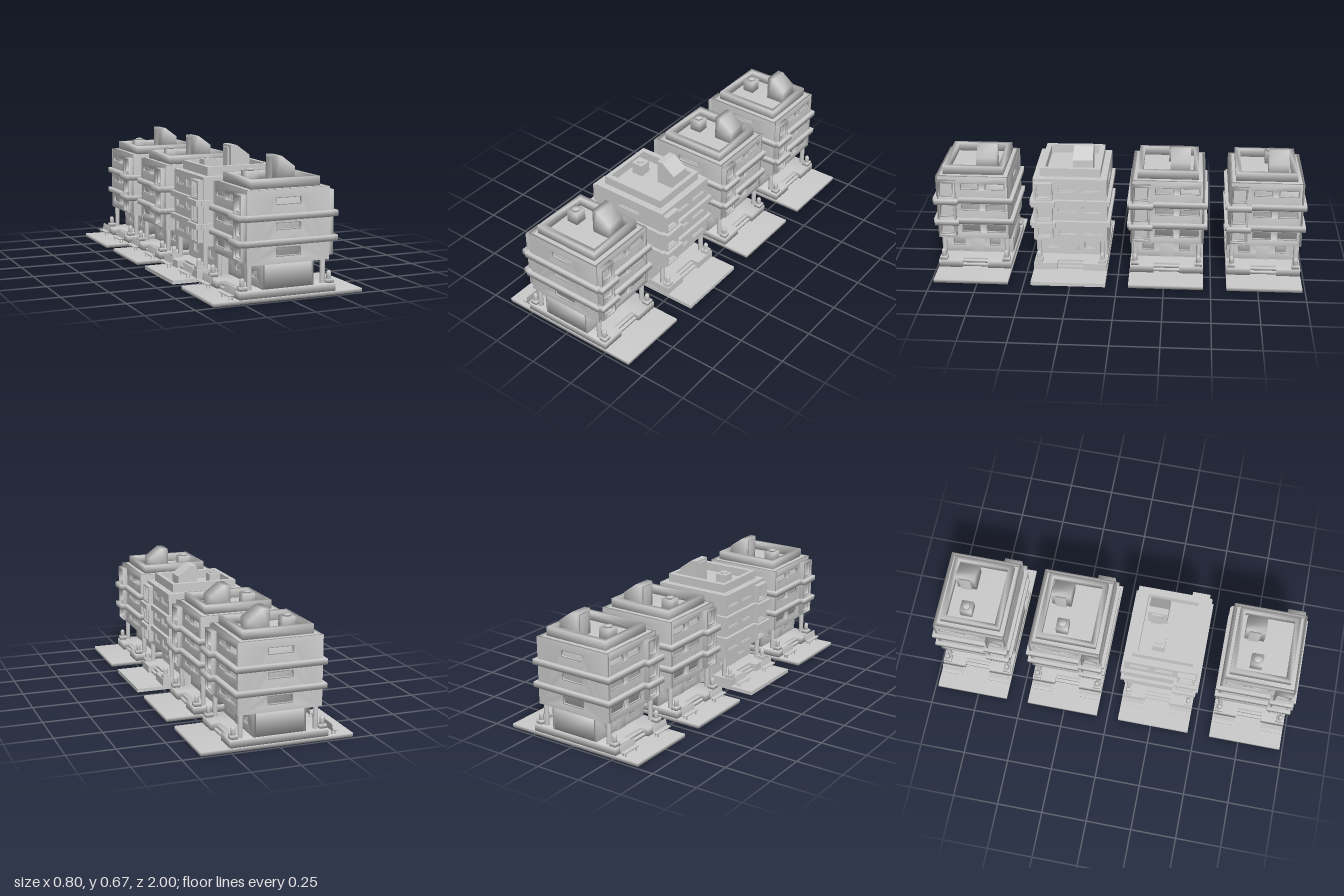
import * as THREE from 'three';
import { mergeVertices } from 'three/addons/utils/BufferGeometryUtils.js';

const FLOORS = [[0.214, 0.262], [0.343, 0.381], [0.465, 0.503]];
const BAY_FLOORS = [[0.208, 0.264], [0.31, 0.385], [0.432, 0.513]];

// Rectangle as a closed list of points
function rect(x0, x1, y0, y1) {
  return [[x0, y0], [x1, y0], [x1, y1], [x0, y1]].map(([x, y]) => new THREE.Vector2(x, y));
}

function extrude(outline, holes, depth) {
  const shape = new THREE.Shape(outline);
  holes.forEach((h) => shape.holes.push(new THREE.Path(h)));
  return new THREE.ExtrudeGeometry(shape, { depth, bevelEnabled: false });
}

// Box from its limits
function box(x0, x1, y0, y1, z0, z1) {
  return new THREE.BoxGeometry(x1 - x0, y1 - y0, z1 - z0)
    .translate((x0 + x1) / 2, (y0 + y1) / 2, (z0 + z1) / 2);
}

// Shared vertices give the soft, rounded shading
function soften(geo) {
  geo.deleteAttribute('normal');
  geo.deleteAttribute('uv');
  const soft = mergeVertices(geo, 1e-4);
  soft.computeVertexNormals();
  return soft;
}

function createBuilding(smooth) {
  const building = new THREE.Group();
  const material = new THREE.MeshStandardMaterial({ color: 0xcccccc, flatShading: !smooth });
  const add = (name, geo, parent = building) => {
    const mesh = new THREE.Mesh(smooth ? soften(geo) : geo, material);
    mesh.name = name;
    parent.add(mesh);
    return mesh;
  };

  // Wall with openings; "openings" are [u0, u1, y0, y1], and the outer face lies at "out"
  const wall = (name, outline, openings, depth, out, angle, parent, framed = true) => {
    const place = (geo, offset) => geo.translate(0, 0, offset).rotateY(angle);
    add(name, place(extrude(rect(...outline), openings.map((o) => rect(...o)), depth), out - depth), parent);
    if (!framed) return;
    openings.forEach(([a, b, c, d]) => {
      const t = 0.005;
      const ring = extrude(rect(a, b, c, d), [rect(a + t, b - t, c + t, d - t)], depth * 0.6);
      add('windowFrame', place(ring, out - depth), parent);
    });
  };

  // Ground slab
  add('groundSlab', box(-0.4, 0.4, 0, 0.02, -0.2, 0.2));

  const tower = new THREE.Group();
  tower.name = 'tower';
  tower.position.x = -0.007;
  building.add(tower);
  const part = (name, geo) => add(name, geo, tower);

  // Plinth with a stair notch on both sides
  const plinth = [
    [-0.258, -0.198], [0.258, -0.198], [0.258, -0.07], [0.21, -0.07], [0.21, 0.07], [0.258, 0.07],
    [0.258, 0.198], [-0.258, 0.198], [-0.258, 0.07], [-0.21, 0.07], [-0.21, -0.07], [-0.258, -0.07],
  ].map(([x, z]) => new THREE.Vector2(x, z));
  part('plinth', extrude(plinth, [], 0.04).rotateX(-Math.PI / 2).translate(0, 0.02, 0));

  // Ground floor and main body, each a solid set behind the pierced walls
  const d = 0.012;
  part('lobby', box(-0.126, 0.126, 0.06, 0.18, -0.195, 0.195));
  part('bodyCore', box(-0.22 + d, 0.22 - d, 0.18, 0.54, -0.198 + d, 0.198 - d));
  const frontWindows = FLOORS.map(([a, b]) => [-0.068, 0.068, a, b]);
  for (const angle of [0, Math.PI]) {
    wall('endWall', [-0.22, 0.22, 0.18, 0.54], frontWindows, d, 0.198, angle, tower);
  }

  for (const s of [1, -1]) {
    const angle = s * Math.PI / 2;
    // Range along the facade from a z range, the same on both flanks
    const span = (z0, z1, y0, y1) => (s > 0 ? [-z1, -z0, y0, y1] : [z0, z1, y0, y1]);
    const sx = (x0, x1, ...rest) => (s > 0 ? box(x0, x1, ...rest) : box(-x1, -x0, ...rest));

    const sideWindows = FLOORS.flatMap(([a, b]) => [span(-0.034, 0.067, a, b), span(-0.173, -0.066, a, b)]);
    wall('sideWall', [-0.198 + d, 0.198 - d, 0.18, 0.54], sideWindows, d, 0.22, angle, tower);

    // Projecting bay with three openings
    const bayOpenings = BAY_FLOORS.map(([a, b]) => span(0.103, 0.179, a, b));
    wall('bay', span(0.093, 0.189, 0.2, 0.522), bayOpenings, 0.027, 0.247, angle, tower);
    for (const [y0, y1] of [[0.272, 0.3], [0.393, 0.422]]) {
      part('bayLedge', sx(0.22, 0.264, y0, y1, 0.077, 0.205));
    }

    // Entrance and lobby windows
    wall('lobbyWall', [-0.195, 0.195, 0.06, 0.18],
      [span(0.07, 0.135, 0.095, 0.14), span(-0.125, -0.066, 0.095, 0.14)], d, 0.138, angle, tower);
    part('door', sx(0.13, 0.142, 0.06, 0.145, -0.033, 0.036));

    // Entrance steps
    part('lowerStep', sx(0.2, 0.242, 0.02, 0.034, -0.07, 0.07));
    part('upperStep', sx(0.2, 0.226, 0.034, 0.048, -0.07, 0.07));

    for (const z of [0.172, -0.172]) {
      // Corner column
      part('column', new THREE.CylinderGeometry(0.013, 0.013, 0.12, 12).translate(s * 0.198, 0.12, z));
      // Planter with a rounded shrub
      part('planter', sx(0.215, 0.253, 0.06, 0.079, z - 0.02, z + 0.02));
      const profile = [[0, 0.079], [0.0125, 0.079], [0.0125, 0.106], [0.0105, 0.114], [0.006, 0.119], [0, 0.12]];
      part('shrub', new THREE.LatheGeometry(profile.map((p) => new THREE.Vector2(...p)), 10)
        .translate(s * 0.234, 0, z));
    }
  }

  // Floor bands
  for (const [y0, y1] of [[0.272, 0.3], [0.393, 0.422]]) {
    part('floorBand', box(-0.238, 0.238, y0, y1, -0.215, 0.215));
  }

  // Roof deck and parapet
  part('roofDeck', box(-0.2, 0.2, 0.53, 0.5405, -0.18, 0.18));
  part('parapet', extrude(rect(-0.184, 0.184, -0.163, 0.163), [rect(-0.162, 0.162, -0.135, 0.135)], 0.047)
    .rotateX(-Math.PI / 2).translate(0, 0.54, 0));

  // Roof vent
  add('ventBox', box(-0.138, -0.074, 0.54, 0.605, -0.064, 0));
  add('ventCap', new THREE.CylinderGeometry(0.019, 0.019, 0.01, 10).translate(-0.106, 0.61, -0.032));

  // Stair house with sloping roof
  const house = [[0.022, 0.54], [0.13, 0.54], [0.13, 0.617], [0.056, 0.672], [0.022, 0.672]]
    .map((p) => new THREE.Vector2(...p));
  add('stairHouse', extrude(house, [], 0.106).translate(0, 0, -0.118));
  add('stairDoor', box(0.013, 0.023, 0.54, 0.66, -0.098, -0.038));

  // Benches
  for (const z of [0.135, -0.135]) {
    const bench = new THREE.Group();
    bench.name = 'bench';
    building.add(bench);
    add('benchSeat', box(-0.318, -0.29, 0.04, 0.045, z - 0.058, z + 0.058), bench);
    add('benchBack', new THREE.BoxGeometry(0.004, 0.037, 0.116).rotateZ(-0.2).translate(-0.288, 0.06, z), bench);
    for (const x of [-0.311, -0.294]) {
      for (const dz of [-0.042, 0.042]) {
        add('benchLeg', box(x - 0.002, x + 0.002, 0.02, 0.04, z + dz - 0.003, z + dz + 0.003), bench);
      }
    }
  }
  return building;
}

export function createModel() {
  const model = new THREE.Group();
  model.name = 'buildingRow';
  // Four buildings in a row; one has hard facets, the others soft shading
  [0.784, 0.261, -0.261, -0.784].forEach((z, i) => {
    const building = createBuilding(i !== 1);
    building.name = i === 1 ? 'facetedBuilding' : 'softBuilding';
    building.position.z = z;
    model.add(building);
  });
  return model;
}
